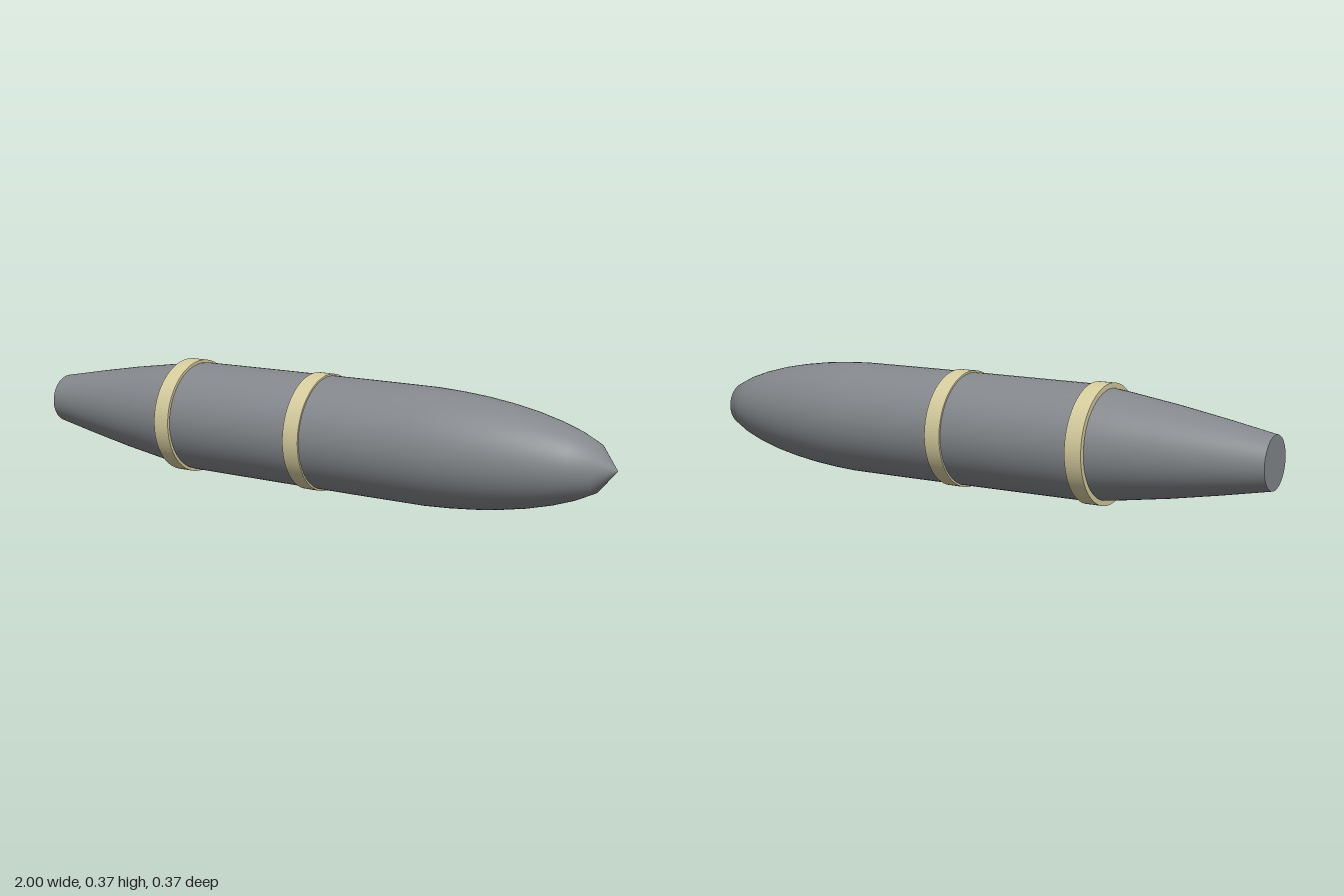
import * as THREE from 'three';

export function createModel() {
  const group = new THREE.Group();
  const grey = new THREE.MeshStandardMaterial({ color: 0x84888c });
  grey.name = 'casing grey';
  const cream = new THREE.MeshStandardMaterial({ color: 0xd6cd9e });
  cream.name = 'band cream';
  const centreY = 0.186;

  const add = (name, geometry, material, x = 0) => {
    const mesh = new THREE.Mesh(geometry, material);
    mesh.name = name;
    mesh.position.set(x, centreY, 0);
    group.add(mesh);
  };

  // Casing: tapered tail, straight middle, rounded nose with a conical tip ([x, radius])
  const profile = [
    [-1, 0.08], [-0.85, 0.109], [-0.7, 0.136], [-0.55, 0.159], [-0.47, 0.17], [-0.42, 0.176],
    [-0.05, 0.178], [0.2, 0.179], [0.42, 0.179], [0.5, 0.175], [0.58, 0.168], [0.66, 0.157],
    [0.74, 0.142], [0.82, 0.121], [0.88, 0.1], [0.94, 0.071], [1, 0],
  ].map(([x, r]) => new THREE.Vector2(r, x));
  add('casing', new THREE.LatheGeometry(profile, 64).rotateZ(-Math.PI / 2), grey);

  // Flat disc closing the tail
  add('tailCap', new THREE.CircleGeometry(0.08, 64).rotateY(-Math.PI / 2), grey, -1);

  // Two raised bands
  const ring = new THREE.Shape().absarc(0, 0, 0.184, 0, Math.PI * 2);
  ring.holes.push(new THREE.Path().absarc(0, 0, 0.165, 0, Math.PI * 2, true));
  for (const [name, x] of [['rearBand', -0.486], ['middleBand', 0.002]]) {
    const band = new THREE.ExtrudeGeometry(ring, { depth: 0.054, bevelEnabled: false, curveSegments: 64 });
    add(name, band.rotateY(Math.PI / 2), cream, x);
  }
  return group;
}
